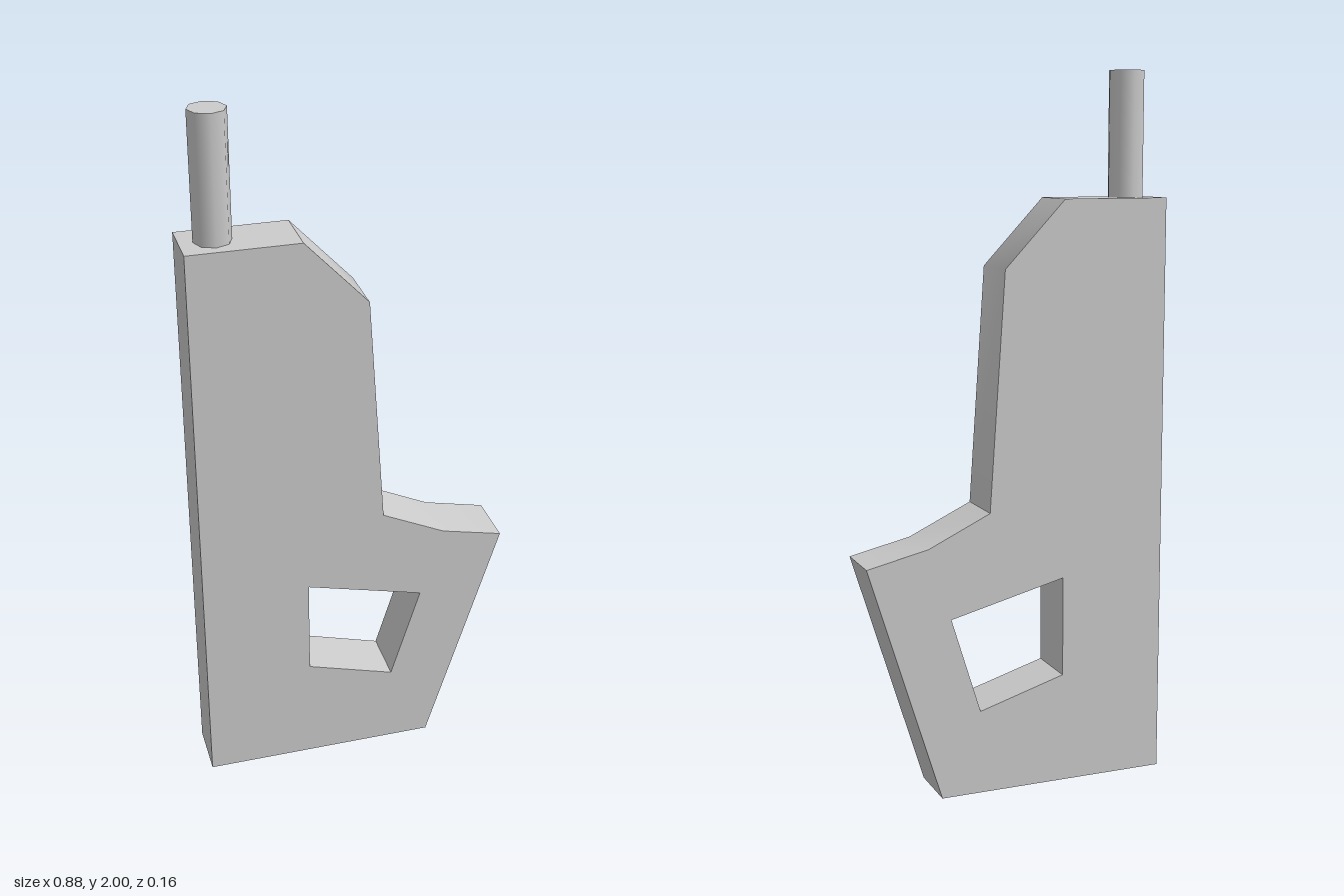
import * as THREE from 'three';
import { toCreasedNormals } from 'three/addons/utils/BufferGeometryUtils.js';

const DEPTH = 0.16;
const points = (list) => list.map(([x, y]) => new THREE.Vector2(x, y));

export function createModel() {
  const model = new THREE.Group();
  model.name = 'handle';
  const material = new THREE.MeshStandardMaterial({ color: 0xcccccc });

  // Flat body outline: straight back, chamfered top, flared foot
  const outline = new THREE.Shape(points([
    [-0.44, 0], [0.23, 0], [0.44, 0.68], [0.265, 0.72],
    [0.085, 0.805], [0.04, 1.47], [-0.135, 1.655], [-0.44, 1.655],
  ]));

  // Four-sided opening through the foot
  outline.holes.push(new THREE.Path(points([
    [-0.135, 0.6], [0.2, 0.515], [0.115, 0.24], [-0.135, 0.315],
  ])));

  const slab = new THREE.ExtrudeGeometry(outline, { depth: DEPTH, bevelEnabled: false });
  slab.translate(0, 0, -DEPTH / 2);
  const body = new THREE.Mesh(toCreasedNormals(slab, THREE.MathUtils.degToRad(42)), material);
  body.name = 'body';
  model.add(body);

  // Eight-sided rod standing on the top
  const rod = new THREE.Mesh(new THREE.CylinderGeometry(0.051, 0.051, 0.345, 8), material);
  rod.name = 'rod';
  rod.position.set(-0.352, 1.655 + 0.345 / 2, 0);
  model.add(rod);

  return model;
}
